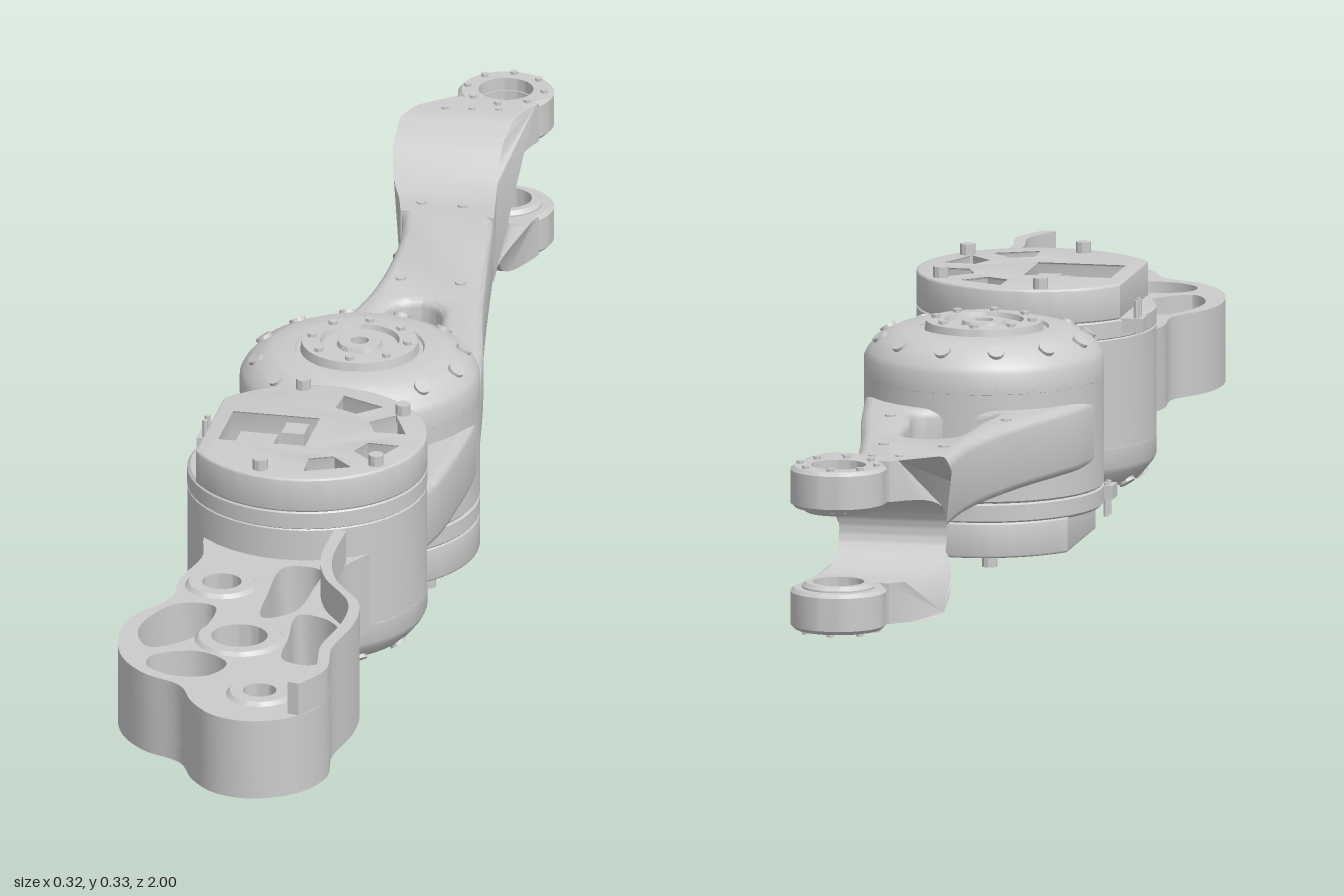
import * as THREE from 'three';
import { toCreasedNormals } from 'three/addons/utils/BufferGeometryUtils.js';

const grey = new THREE.MeshStandardMaterial({ color: 0xcccccc, side: THREE.DoubleSide });

function add(parent, name, geo, x = 0, y = 0, z = 0, crease = 0.55) {
  const mesh = new THREE.Mesh(toCreasedNormals(geo, crease), grey);
  mesh.name = name;
  mesh.position.set(x, y, z);
  parent.add(mesh);
  return mesh;
}

// Plan points are [x, z]; extruded plans are turned so that depth becomes height.
const vec = (p) => p.map(([x, z]) => new THREE.Vector2(x, -z));
const spline = (p, n = 48) => new THREE.SplineCurve(vec(p)).getPoints(n);
const closedSpline = (p, n = 100) =>
  new THREE.CatmullRomCurve3(p.map(([x, z]) => new THREE.Vector3(x, -z, 0)), true)
    .getPoints(n).slice(0, n).map((v) => new THREE.Vector2(v.x, v.y));
const circle = (x, z, r) => new THREE.Path().absarc(x, -z, r, 0, Math.PI * 2, true);

function plan(points, holes, y0, y1, bevel = 0) {
  const shape = new THREE.Shape(points);
  shape.holes.push(...holes);
  const geo = new THREE.ExtrudeGeometry(shape, {
    depth: y1 - y0 - 2 * bevel, curveSegments: 24, bevelEnabled: bevel > 0,
    bevelSize: bevel, bevelThickness: bevel, bevelOffset: -bevel, bevelSegments: 3,
  });
  return geo.rotateX(-Math.PI / 2).translate(0, y0 + bevel, 0);
}

const lathe = (p, n = 56) =>
  new THREE.LatheGeometry(p.map(([r, y]) => new THREE.Vector2(r, y)), n);
const tube = (ri, ro, y0, y1) =>
  lathe([[ri, y0], [ro - 0.005, y0], [ro, y0 + 0.005], [ro, y1 - 0.005], [ro - 0.005, y1], [ri, y1], [ri, y0]], 40);
const rod = (r, h, n = 12) => new THREE.CylinderGeometry(r, r, h, n);

// Joint drive: domed output cap on top, open electronics housing below.
function makeDrive(name) {
  const g = new THREE.Group();
  g.name = name;
  add(g, 'jointBarrel', lathe([[0, -0.1], [0.153, -0.1], [0.157, -0.096], [0.157, -0.075], [0.153, -0.072],
    [0.153, 0.068], [0.157, 0.072], [0.157, 0.098], [0.153, 0.106], [0.14, 0.122], [0.115, 0.134],
    [0.085, 0.136], [0.083, 0.132], [0.078, 0.132], [0.076, 0.144], [0.052, 0.145], [0.05, 0.138],
    [0.03, 0.138], [0.028, 0.144], [0.012, 0.144], [0.012, 0.12], [0, 0.12]]));
  for (let i = 0; i < 12; i++) {
    const a = (i / 12) * Math.PI * 2 + 0.2;
    const bolt = add(g, 'capBolt', rod(0.011, 0.012), Math.cos(a) * 0.135, 0.122, Math.sin(a) * 0.135);
    bolt.rotation.set(0, -a, -0.6);
  }
  for (let i = 0; i < 8; i++) {
    const a = (i / 8) * Math.PI * 2;
    add(g, 'hubBolt', rod(0.006, 0.006, 8), Math.cos(a) * 0.064, 0.146, Math.sin(a) * 0.064);
  }
  // Housing shell, flattened on one side, with a board bay and wedge pockets
  const rim = [];
  for (let i = 0; i <= 60; i++) {
    const a = -2.55 + (i / 60) * 5.1;
    rim.push([Math.cos(a) * 0.157, Math.sin(a) * 0.157]);
  }
  const pockets = [[[-0.112, -0.05], [0.01, -0.05], [0.01, 0.05], [-0.112, 0.05]]];
  for (const a of [-1.15, -0.4, 0.4, 1.15]) {
    const at = (r, d) => [Math.cos(a + d) * r, Math.sin(a + d) * r];
    pockets.push([at(0.085, -0.22), at(0.132, -0.27), at(0.132, 0.27), at(0.085, 0.22)]);
  }
  add(g, 'driveHousing', plan(vec(rim), pockets.map((p) => new THREE.Path(vec(p))), -0.145, -0.098, 0.003));
  for (const [x, z, w, d, h] of [[-0.07, 0, 0.05, 0.06, 0.025], [-0.02, 0.02, 0.03, 0.035, 0.04],
    [-0.02, -0.026, 0.035, 0.03, 0.03]])
    add(g, 'electronicsBlock', new THREE.BoxGeometry(w, h, d), x, -0.1 - h / 2, z);
  add(g, 'socket', new THREE.BoxGeometry(0.03, 0.018, 0.03), -0.145, -0.09, 0.07);
  for (const z of [0.062, 0.078]) add(g, 'pin', rod(0.004, 0.045, 6), -0.15, -0.1, z);
  for (const [x, z] of [[0.11, 0.085], [0.11, -0.085], [-0.035, 0.14], [-0.035, -0.13]])
    add(g, 'housingBolt', rod(0.01, 0.025, 10), x, -0.147, z);
  return g;
}

// Front link: hollow casting with bosses, open at the top
function makeFrontLink() {
  const g = new THREE.Group();
  g.name = 'frontLink';
  const outline = closedSpline([[-0.11, 0.4], [-0.104, 0.48], [-0.118, 0.56], [-0.115, 0.62], [-0.148, 0.68],
    [-0.158, 0.74], [-0.14, 0.82], [-0.1, 0.87], [-0.045, 0.9], [-0.018, 0.95], [0.02, 0.988], [0.07, 0.997],
    [0.125, 0.968], [0.153, 0.91], [0.146, 0.84], [0.157, 0.76], [0.15, 0.69], [0.105, 0.62],
    [0.085, 0.55], [0.082, 0.48], [0.11, 0.4]]);
  const bores = [[-0.06, 0.565, 0.026], [0, 0.735, 0.037], [0.063, 0.905, 0.022]];
  const pockets = [
    [[-0.1, 0.635], [-0.055, 0.635], [-0.05, 0.69], [-0.065, 0.75], [-0.11, 0.785], [-0.135, 0.74], [-0.128, 0.68]],
    [[-0.1, 0.81], [-0.045, 0.785], [0, 0.815], [-0.015, 0.86], [-0.06, 0.87], [-0.1, 0.845]],
    [[0.06, 0.64], [0.1, 0.65], [0.13, 0.7], [0.132, 0.76], [0.11, 0.8], [0.07, 0.79], [0.062, 0.72]],
    [[0.01, 0.49], [0.055, 0.49], [0.06, 0.56], [0.05, 0.635], [0.015, 0.66], [0.005, 0.58]],
  ].map((p) => new THREE.Path(closedSpline(p, 32)));
  add(g, 'linkFloor', plan(outline, bores.map((b) => circle(...b)), 0.088, 0.108));
  add(g, 'linkWalls', plan(outline, [...bores.map((b) => circle(b[0], b[1], b[2] + 0.008)), ...pockets], 0.106, 0.198));
  for (const [x, z, r] of bores) add(g, 'bossRing', tube(r, r + 0.022, 0.1, 0.203), x, 0, z);
  // Thin raised wall along one side
  const side = [[0.084, 0.46], [0.085, 0.55], [0.105, 0.62], [0.15, 0.69], [0.157, 0.76], [0.146, 0.84], [0.153, 0.91], [0.128, 0.965]];
  const inner = side.map(([x, z]) => [x - 0.016, z - 0.004]).reverse();
  add(g, 'raisedSideWall', plan([...spline(side), ...spline(inner)], [], 0.197, 0.243));
  add(g, 'frontJointRing', tube(0.12, 0.157, 0.088, 0.245), 0, 0, 0.31);
  return g;
}

// Rear arm: tapering blade with a slot, ending in a fork
const leftEdge = [[-0.66, -0.082], [-0.7, -0.092], [-0.74, -0.108], [-0.78, -0.118], [-0.83, -0.118], [-0.865, -0.1], [-0.9, -0.06]];
const rightEdge = [[-0.66, 0.043], [-0.7, 0.036], [-0.78, 0.024], [-0.83, 0.027], [-0.865, 0.04], [-0.9, 0.052]];
function lerpTable(table, z) {
  let i = 0;
  while (i < table.length - 2 && z < table[i + 1][0]) i++;
  const [a, b] = [table[i], table[i + 1]];
  return THREE.MathUtils.lerp(a[1], b[1], (z - a[0]) / (b[0] - a[0]));
}

function makeRearArm() {
  const g = new THREE.Group();
  g.name = 'rearArm';
  const left = [[-0.09, -0.7], [-0.068, -0.6], [-0.062, -0.48], [-0.07, -0.37], [-0.1, -0.24], [-0.145, -0.1],
    [-0.155, -0.01], [-0.14, 0.06], [-0.105, 0.12], [-0.104, 0.18], [-0.12, 0.24]];
  const right = [[0.14, 0.24], [0.152, 0.18], [0.157, 0.08], [0.156, -0.02], [0.138, -0.13], [0.118, -0.24],
    [0.085, -0.4], [0.036, -0.7]];
  const slot = closedSpline([[-0.028, -0.36], [0.005, -0.378], [0.034, -0.36], [0.05, -0.25], [0.054, -0.185], [0, -0.175], [-0.046, -0.185], [-0.04, -0.25]], 48);
  const gaps = [-1, 1].map((s) => new THREE.Path(vec([[s * 0.1, 0.115], [s * 0.045, 0.137], [s * 0.045, 0.152], [s * 0.1, 0.175]])));
  gaps[0] = new THREE.Path(vec([[-0.088, 0.12], [-0.045, 0.137], [-0.045, 0.152], [-0.088, 0.17]]));
  add(g, 'armBlade', plan([...spline(left), ...spline(right)], [new THREE.Path(slot), ...gaps], 0.121, 0.211, 0.012));
  add(g, 'rearJointRing', tube(0.12, 0.157, 0.085, 0.245), 0, 0, -0.02);
  for (const [x, z] of [[-0.035, -0.44], [0.045, -0.44], [-0.06, -0.69], [-0.005, -0.69], [0.08, -0.235], [-0.075, -0.235]])
    add(g, 'armScrew', rod(0.007, 0.095, 10), x, 0.166, z);

  // Fork: side profile extruded across x, then fitted between the two edges
  const c = 0.166;
  const outer = new THREE.SplineCurve([[0.66, 0.045], [0.715, 0.046], [0.76, 0.063], [0.8, 0.09], [0.84, 0.106], [0.9, 0.108]]
    .map((p) => new THREE.Vector2(...p))).getPoints(24);
  const inner = new THREE.SplineCurve([[0.9, 0.054], [0.865, 0.052], [0.833, 0.039], [0.815, 0.018], [0.81, 0]]
    .map((p) => new THREE.Vector2(...p))).getPoints(16);
  const half = [...outer, ...inner];
  const lower = half.slice(0, -1).reverse().map((p) => new THREE.Vector2(p.x, c - p.y));
  const profile = new THREE.Shape([...half.map((p) => new THREE.Vector2(p.x, c + p.y)), ...lower]);
  const fork = new THREE.ExtrudeGeometry(profile, { depth: 1, bevelEnabled: false }).rotateY(Math.PI / 2);
  const pos = fork.attributes.position;
  for (let i = 0; i < pos.count; i++) {
    const z = pos.getZ(i);
    pos.setX(i, THREE.MathUtils.lerp(lerpTable(leftEdge, z), lerpTable(rightEdge, z), pos.getX(i)));
  }
  add(g, 'fork', fork);
  for (const s of [-1, 1]) {
    const y = c + s * 0.081;
    add(g, 'forkEye', tube(0.036, 0.063, y - 0.027, y + 0.027), 0, 0, -0.937);
    add(g, 'forkBush', tube(0.034, 0.048, y - s * 0.012 - 0.022, y - s * 0.012 + 0.022), 0, 0, -0.937);
    for (let i = 0; i < 8; i++) {
      const a = (i / 8) * Math.PI * 2;
      add(g, 'eyeScrew', rod(0.005, 0.006, 8), Math.cos(a) * 0.051, c + s * 0.109, -0.937 + Math.sin(a) * 0.051);
    }
    for (const [x, z] of [[-0.065, -0.86], [-0.03, -0.865], [0.005, -0.87]])
      add(g, 'forkScrew', rod(0.005, 0.006, 8), x, c + s * 0.107, z);
  }
  return g;
}

export function createModel() {
  const model = new THREE.Group();
  model.name = 'jointedLinkArm';
  const rearDrive = makeDrive('rearDrive');
  rearDrive.position.set(0, 0.16, -0.02);
  const frontDrive = makeDrive('frontDrive');
  frontDrive.rotation.x = Math.PI; // cap faces down
  frontDrive.position.set(0, 0.168, 0.31);
  model.add(makeFrontLink(), makeRearArm(), rearDrive, frontDrive);
  return model;
}
